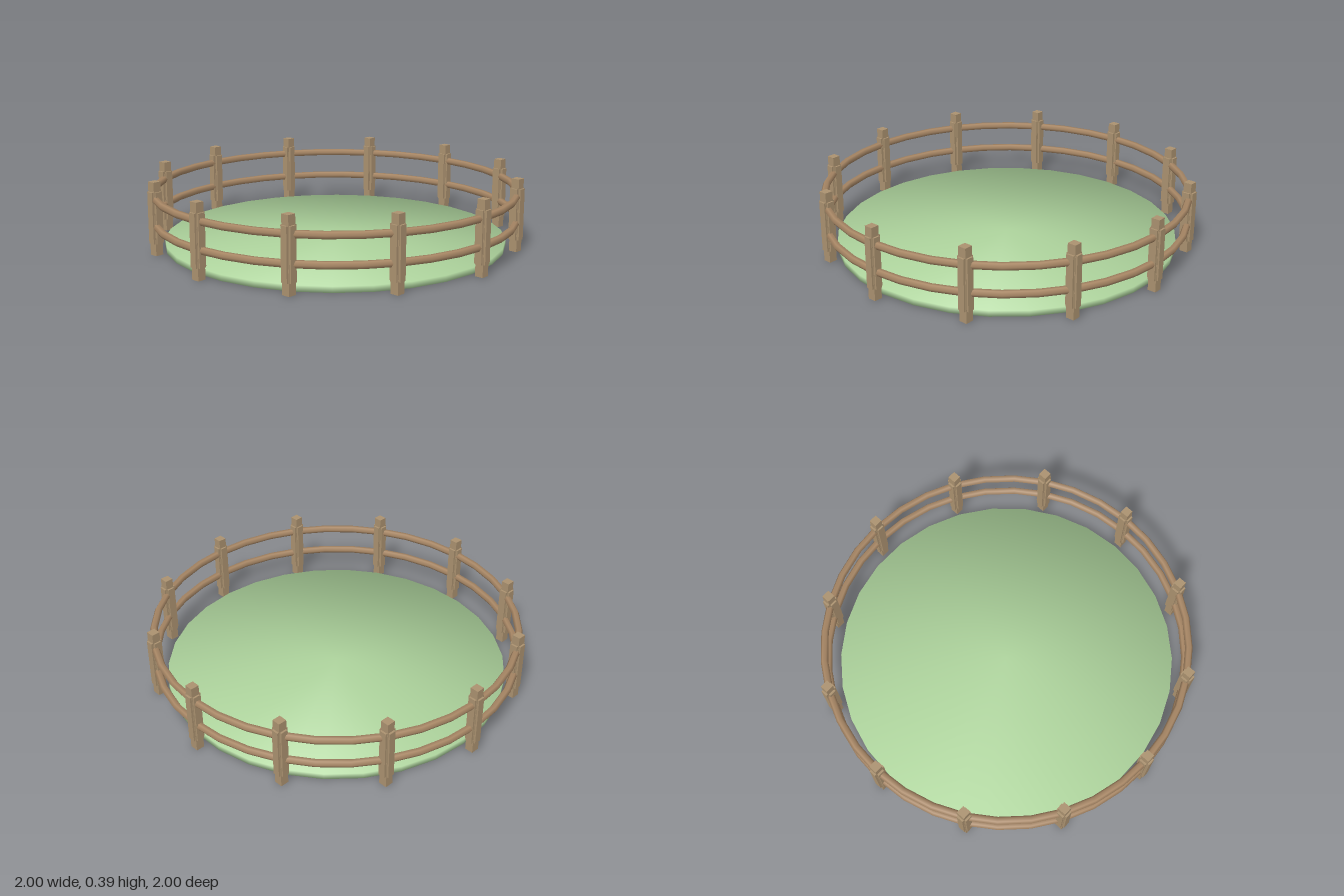
import * as THREE from 'three';

const POSTS = 12;
const RING = 0.967;

export function createModel() {
  const model = new THREE.Group();
  const grass = new THREE.MeshStandardMaterial({ color: 0xaed49d });
  grass.name = 'grass green';
  const postWood = new THREE.MeshStandardMaterial({ color: 0xab9270 });
  postWood.name = 'post wood';
  const railWood = new THREE.MeshStandardMaterial({ color: 0xa88765 });
  railWood.name = 'rail wood';

  function add(parent, name, geometry, material, y) {
    const mesh = new THREE.Mesh(geometry, material);
    mesh.name = name;
    mesh.position.y = y;
    parent.add(mesh);
    return mesh;
  }

  // Thin round ground, its rim normals softened between cap and wall
  const disc = new THREE.CylinderGeometry(0.915, 0.915, 0.032, 30);
  const pos = disc.attributes.position;
  const n = new THREE.Vector3();
  for (let i = 0; i < pos.count; i++) {
    const x = pos.getX(i), z = pos.getZ(i);
    const r = Math.hypot(x, z);
    if (r < 0.1) continue;
    n.set(x / r, Math.sign(pos.getY(i)), z / r).normalize();
    disc.attributes.normal.setXYZ(i, n.x, n.y, n.z);
  }
  add(model, 'ground', disc, grass, 0.016);

  // Two round rails running through all posts
  const rail = new THREE.TorusGeometry(RING, 0.02, 6, 36).rotateX(Math.PI / 2);
  add(model, 'lowerRail', rail, railWood, 0.15);
  add(model, 'upperRail', rail, railWood, 0.293);

  // Square posts, each with a crossed brace around the rails
  const shaft = new THREE.BoxGeometry(0.045, 0.388, 0.045);
  const braceX = new THREE.BoxGeometry(0.065, 0.272, 0.038);
  const braceZ = new THREE.BoxGeometry(0.038, 0.272, 0.065);
  for (let i = 0; i < POSTS; i++) {
    const a = (i / POSTS) * Math.PI * 2;
    const post = new THREE.Group();
    post.name = 'post' + (i + 1);
    post.position.set(Math.sin(a) * RING, 0, Math.cos(a) * RING);
    add(post, 'shaft', shaft, postWood, 0.194);
    add(post, 'sideBrace', braceX, postWood, 0.2);
    add(post, 'frontBrace', braceZ, postWood, 0.2);
    model.add(post);
  }
  return model;
}
